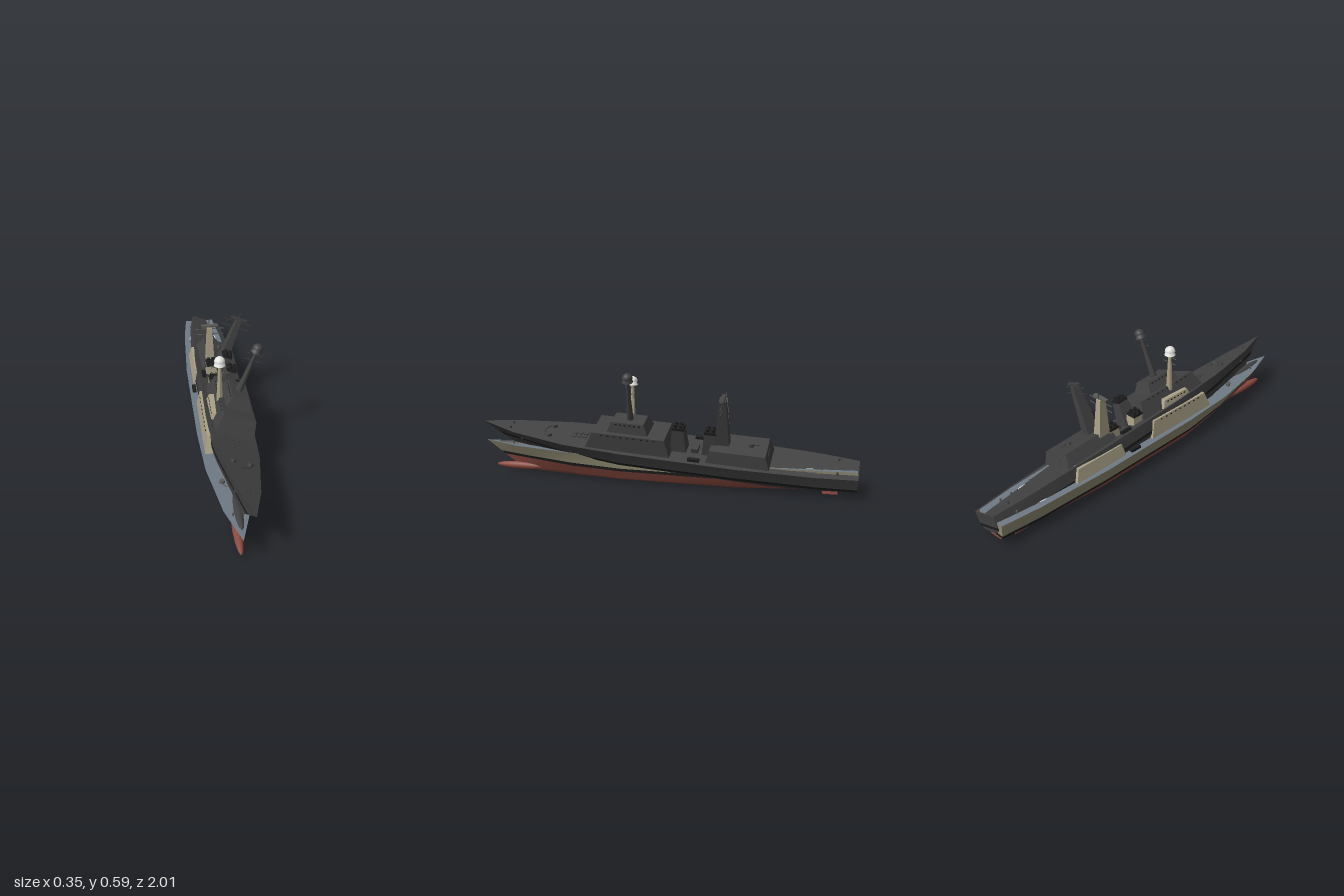
import * as THREE from 'three';

const mat = (name, color) => {
  const m = new THREE.MeshStandardMaterial({ color, side: THREE.DoubleSide });
  m.name = name;
  return m;
};

const charcoal = mat('charcoal', 0x414141);
const black = mat('black', 0x1d1e1d);
const paint = {
  hull: mat('hullGrey', 0x8c876f),
  house: mat('houseBeige', 0xaaa188),
  deck: mat('deckBlueGrey', 0x6f7a85),
  red: mat('bottomRed', 0x8a4a40),
  white: mat('white', 0xe2e2de),
  metal: mat('metalGrey', 0x5b5b57),
  black,
};
// the second ship is charcoal except for its black parts
const dark = Object.fromEntries(Object.keys(paint).map(k => [k, charcoal]));
dark.black = black;

// hull stations: z, stem rake, then half width and height of
// deck edge, band top, band bottom, bilge, keel edge
const STATIONS = [
  [1, 1.45, 0, 0.163, 0, 0.105, 0, 0.088, 0, 0.045, 0, 0.015],
  [0.8, 1.0, 0.06, 0.152, 0.036, 0.096, 0.03, 0.08, 0.015, 0.035, 0.004, 0.008],
  [0.5, 0.4, 0.108, 0.145, 0.087, 0.085, 0.081, 0.068, 0.052, 0.02, 0.02, 0.002],
  [0.2, 0, 0.122, 0.14, 0.112, 0.077, 0.108, 0.062, 0.085, 0.018, 0.04, 0],
  [-0.4, 0, 0.125, 0.136, 0.114, 0.074, 0.11, 0.058, 0.085, 0.018, 0.04, 0],
  [-0.8, 0, 0.105, 0.132, 0.1, 0.072, 0.097, 0.056, 0.07, 0.03, 0.03, 0.018],
  [-1, 0, 0.082, 0.13, 0.08, 0.07, 0.078, 0.055, 0.055, 0.043, 0.01, 0.038],
];
const hullPoint = (s, j, side) => {
  const y = s[3 + 2 * j];
  return [side * s[2 + 2 * j], y, s[0] - s[1] * (s[3] - y)];
};

// ribbon between two lines of points
function ribbon(a, b) {
  const g = new THREE.BufferGeometry();
  const index = [];
  for (let i = 0; i < a.length - 1; i++) {
    const k = 2 * i;
    index.push(k, k + 2, k + 1, k + 1, k + 2, k + 3);
  }
  g.setAttribute('position', new THREE.Float32BufferAttribute(a.flatMap((p, i) => [...p, ...b[i]]), 3));
  g.setIndex(index);
  g.computeVertexNormals();
  return g;
}

// block whose top is smaller than its base
function taper(wB, dB, wT, dT, y0, y1, zB, zT) {
  const g = new THREE.BoxGeometry(1, 1, 1).toNonIndexed();
  const p = g.attributes.position;
  for (let i = 0; i < p.count; i++) {
    const top = p.getY(i) > 0;
    p.setXYZ(i, p.getX(i) * (top ? wT : wB), top ? y1 : y0,
      p.getZ(i) * (top ? dT : dB) + (top ? zT : zB));
  }
  g.computeVertexNormals();
  return g;
}

function buildShip(m) {
  const ship = new THREE.Group();
  const add = (name, geometry, material, x = 0, y = 0, z = 0) => {
    const mesh = new THREE.Mesh(geometry, material);
    mesh.name = name;
    mesh.position.set(x, y, z);
    ship.add(mesh);
    return mesh;
  };
  const box = (name, material, w, h, d, x, y, z) =>
    add(name, new THREE.BoxGeometry(w, h, d), material, x, y, z);
  const drum = (name, material, rT, rB, h, x, y, z, n = 10) =>
    add(name, new THREE.CylinderGeometry(rT, rB, h, n), material, x, y, z);

  // hull sides and transom, one strip per paint zone
  const zones = [['topside', m.hull], ['waterlineBand', m.black], ['lowerHull', m.red], ['bilge', m.red]];
  zones.forEach(([name, material], j) => {
    for (const s of [-1, 1]) {
      const upper = STATIONS.map(t => hullPoint(t, j, s));
      const lower = STATIONS.map(t => hullPoint(t, j + 1, s));
      add(name, s > 0 ? ribbon(upper, lower) : ribbon(lower, upper), material);
    }
    const t = STATIONS[STATIONS.length - 1];
    add('transom', ribbon([hullPoint(t, j, 1), hullPoint(t, j + 1, 1)],
      [hullPoint(t, j, -1), hullPoint(t, j + 1, -1)]), material);
  });
  const across = j => [-1, 1].map(s => STATIONS.map(t => hullPoint(t, j, s)));
  add('keel', ribbon(...across(4).reverse()), m.red);
  add('deck', ribbon(...across(0)), m.deck);

  // bulb, rudders, anchors
  add('bowBulb', new THREE.SphereGeometry(0.021, 14, 10), m.red, 0, 0.028, 0.8).scale.z = 7;
  for (const s of [-1, 1]) {
    box('rudder', m.red, 0.006, 0.035, 0.075, s * 0.04, 0.019, -0.87);
    box('anchor', m.metal, 0.008, 0.018, 0.012, s * 0.037, 0.108, 0.765);
    box('lifeRaft', m.black, 0.02, 0.014, 0.06, s * 0.1, 0.147, -0.195);
    drum('capstan', m.metal, 0.012, 0.014, 0.014, s * 0.042, 0.154, 0.6);
    drum('bollard', m.metal, 0.005, 0.005, 0.014, s * 0.06, 0.14, -0.9, 8);
    drum('bollard', m.metal, 0.005, 0.005, 0.014, s * 0.022, 0.16, 0.83, 8);
  }
  const chain = add('anchorChain', new THREE.TorusGeometry(0.045, 0.003, 5, 16, Math.PI), m.metal, 0, 0.151, 0.61);
  chain.rotation.x = Math.PI / 2;
  chain.scale.y = 0.6;
  for (let i = 0; i < 6; i++)
    box('launchHatch', m.metal, 0.02, 0.006, 0.022, (i % 2 - 0.5) * 0.028, 0.146, 0.41 + Math.floor(i / 2) * 0.03);

  // landing circle
  add('landingCircle', new THREE.RingGeometry(0.07, 0.078, 32), m.white, 0, 0.135, -0.76).rotation.x = -Math.PI / 2;

  // deckhouses
  add('forwardHouse', taper(0.2, 0.455, 0.168, 0.385, 0.13, 0.228, 0.157, 0.15), m.house);
  add('bridge', taper(0.126, 0.22, 0.092, 0.17, 0.226, 0.282, 0.158, 0.158), m.house);
  add('aftHouse', taper(0.2, 0.32, 0.168, 0.28, 0.13, 0.2, -0.415, -0.412), m.house);
  box('hangarDoor', m.metal, 0.07, 0.045, 0.006, 0, 0.16, -0.564).rotation.x = 0.3;
  drum('aftMount', m.metal, 0.012, 0.015, 0.016, 0, 0.207, -0.47);
  box('aftMountBarrel', m.metal, 0.004, 0.004, 0.04, 0, 0.211, -0.495);

  // small windows under the roof edges
  for (const s of [-1, 1]) {
    for (let i = 0; i < 9; i++) box('window', m.black, 0.006, 0.006, 0.01, s * 0.0845, 0.219, 0.01 + i * 0.035);
    for (let i = 0; i < 6; i++) box('window', m.black, 0.006, 0.006, 0.01, s * 0.048, 0.271, 0.095 + i * 0.025);
  }

  // funnels with paired exhausts
  for (const [z, top] of [[-0.1, 0.268], [-0.265, 0.264]]) {
    add('funnel', taper(0.075, 0.085, 0.05, 0.058, 0.13, top, z, z), m.house);
    add('funnelCap', taper(0.053, 0.061, 0.05, 0.058, top - 0.01, top + 0.004, z, z), m.black);
    for (const x of [-0.012, 0.012])
      for (const dz of [-0.014, 0.014]) drum('exhaust', m.black, 0.009, 0.009, 0.02, x, top + 0.008, z + dz);
  }
  box('midDeckLocker', m.metal, 0.06, 0.025, 0.035, 0, 0.148, -0.185);

  // forward mast with radar dome
  const mast = new THREE.CylinderGeometry(0.008, 0.018, 0.225, 8).toNonIndexed();
  mast.computeVertexNormals();
  add('forwardMast', mast, m.house, 0, 0.39, 0.155);
  drum('domeFoot', m.white, 0.008, 0.019, 0.008, 0, 0.5, 0.155, 16).rotation.x = Math.PI;
  drum('domeBase', m.white, 0.019, 0.029, 0.019, 0, 0.511, 0.155, 16);
  add('radarDome', new THREE.SphereGeometry(0.027, 18, 8, 0, Math.PI * 2, 0, Math.PI / 2), m.white, 0, 0.52, 0.155);
  add('domeFloor', new THREE.CircleGeometry(0.027, 18), m.white, 0, 0.52, 0.155).rotation.x = Math.PI / 2;
  for (const y of [0.488, 0.455]) box('yard', m.metal, 0.085, 0.003, 0.003, 0, y, 0.155);

  // aft mast with flat radar
  add('aftMast', taper(0.05, 0.075, 0.026, 0.036, 0.19, 0.45, -0.325, -0.325), m.house);
  box('flatRadar', m.metal, 0.086, 0.01, 0.02, 0, 0.456, -0.325);
  box('mastSpike', m.metal, 0.004, 0.03, 0.004, 0, 0.47, -0.34);
  for (const y of [0.438, 0.406]) box('yard', m.metal, 0.154, 0.003, 0.003, 0, y, -0.325);
  return ship;
}

export function createModel() {
  const model = new THREE.Group();
  const upright = buildShip(paint);
  upright.name = 'uprightShip';
  upright.position.x = -0.055;

  // charcoal ship, rolled to its left with the bow raised
  const rolled = buildShip(dark);
  rolled.name = 'rolledShip';
  rolled.position.set(-0.062, 0.07, 0);
  rolled.rotation.set(-0.06, 0, -0.384);

  model.add(upright, rolled);
  return model;
}
